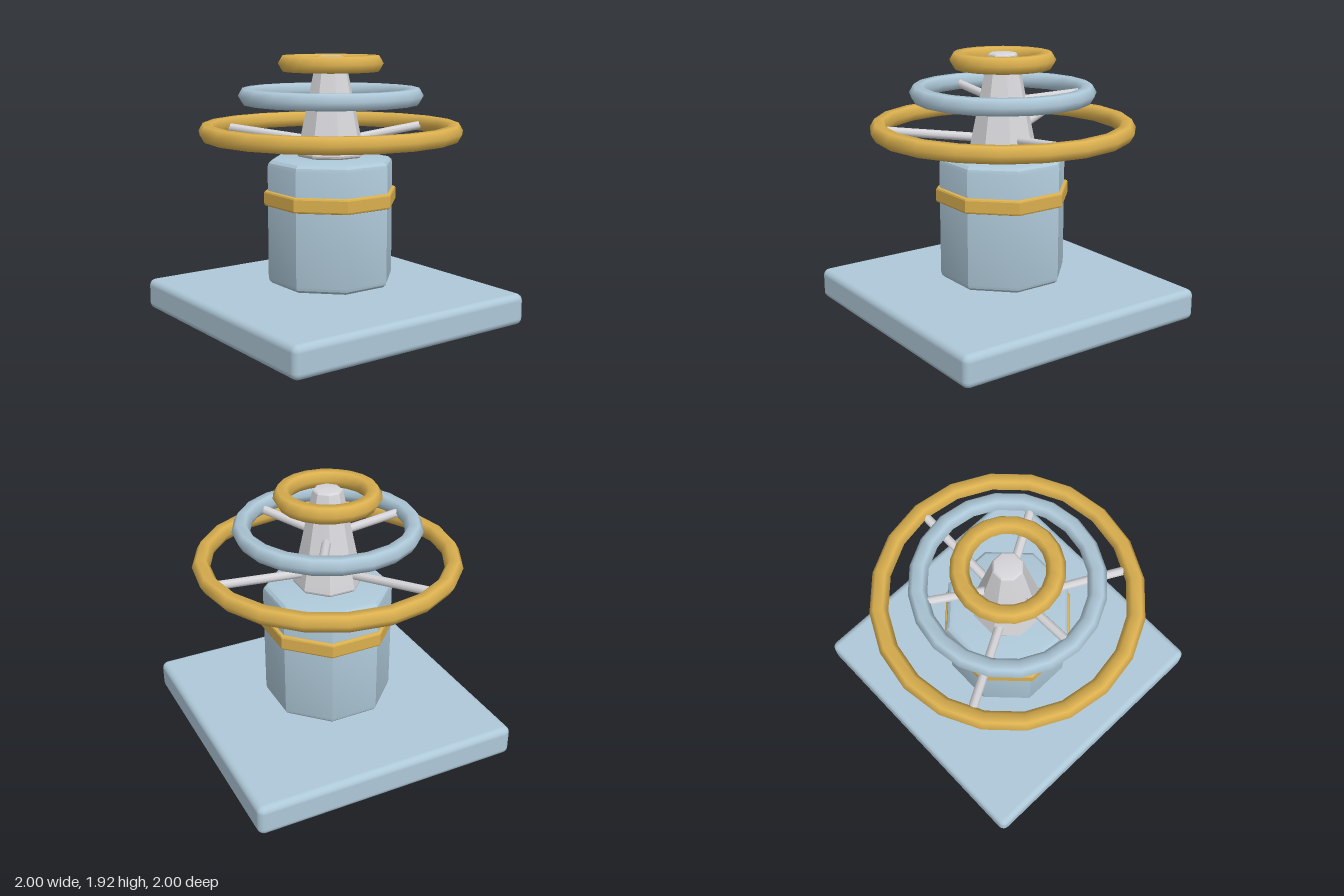
import * as THREE from 'three';
import { RoundedBoxGeometry } from 'three/addons/geometries/RoundedBoxGeometry.js';
import { toCreasedNormals } from 'three/addons/utils/BufferGeometryUtils.js';

const material = (name, color) => {
  const m = new THREE.MeshStandardMaterial({ color });
  m.name = name;
  return m;
};

// Octagonal solid with flats on the axes and rounded top and bottom rims.
// r0 and r1 are the flat-to-centre distances at the bottom and top.
function octagonGeometry(r0, r1, y0, y1, bevel, steps = 3) {
  const k = 1 / Math.cos(Math.PI / 8);
  const points = [new THREE.Vector2(0, y0)];
  for (let i = 0; i <= steps; i++) {
    const a = (i / steps) * Math.PI / 2;
    points.push(new THREE.Vector2((r0 - bevel * (1 - Math.sin(a))) * k, y0 + bevel * (1 - Math.cos(a))));
  }
  for (let i = 0; i <= steps; i++) {
    const a = (i / steps) * Math.PI / 2;
    points.push(new THREE.Vector2((r1 - bevel * (1 - Math.cos(a))) * k, y1 - bevel * (1 - Math.sin(a))));
  }
  points.push(new THREE.Vector2(0, y1));
  return toCreasedNormals(new THREE.LatheGeometry(points, 8, Math.PI / 8), 0.3);
}

export function createModel() {
  const blue = material('pale blue', 0xaec8d8);
  const gold = material('gold', 0xdbb04f);
  const grey = material('light grey', 0xd6d6da);

  const model = new THREE.Group();
  model.name = 'ringedPedestal';
  const add = (name, geometry, mat, parent = model) => {
    const mesh = new THREE.Mesh(geometry, mat);
    mesh.name = name;
    parent.add(mesh);
    return mesh;
  };

  // Square base slab
  add('base', new RoundedBoxGeometry(2, 0.23, 2, 3, 0.05), blue).position.y = 0.115;

  // Octagonal body, its collar and the tapering mast
  add('body', octagonGeometry(0.43, 0.43, 0.275, 1.19, 0.05), blue);
  add('collar', octagonGeometry(0.455, 0.455, 0.855, 0.965, 0.015, 2), gold);
  add('mast', octagonGeometry(0.23, 0.1, 1.2, 1.92, 0.025), grey);

  // Three stacked rings
  const addRing = (name, radius, y, mat) => {
    const geometry = new THREE.TorusGeometry(radius, 0.065, 6, 20).rotateX(-Math.PI / 2);
    add(name, geometry, mat).position.y = y;
  };
  addRing('lowerRing', 0.89, 1.387, gold);
  addRing('middleRing', 0.602, 1.638, blue);
  addRing('upperRing', 0.313, 1.868, gold);

  // Three sloping spokes per ring, running from the mast out to the ring
  const addSpokes = (name, startAngle, r0, y0, r1, y1) => {
    const group = new THREE.Group();
    group.name = name;
    model.add(group);
    const from = new THREE.Vector3(r0, y0, 0);
    const to = new THREE.Vector3(r1, y1, 0);
    const direction = to.clone().sub(from);
    const geometry = new THREE.CylinderGeometry(0.032, 0.032, direction.length(), 8);
    geometry.rotateZ(Math.atan2(direction.y, direction.x) - Math.PI / 2);
    const middle = from.add(to).multiplyScalar(0.5);
    geometry.translate(middle.x, middle.y, 0);
    for (let i = 0; i < 3; i++) {
      add('spoke', geometry, grey, group).rotation.y = startAngle + (i * Math.PI * 2) / 3;
    }
  };
  addSpokes('lowerSpokes', 0, 0.14, 1.31, 0.86, 1.375);
  addSpokes('middleSpokes', Math.PI, 0.12, 1.578, 0.57, 1.628);

  return model;
}
